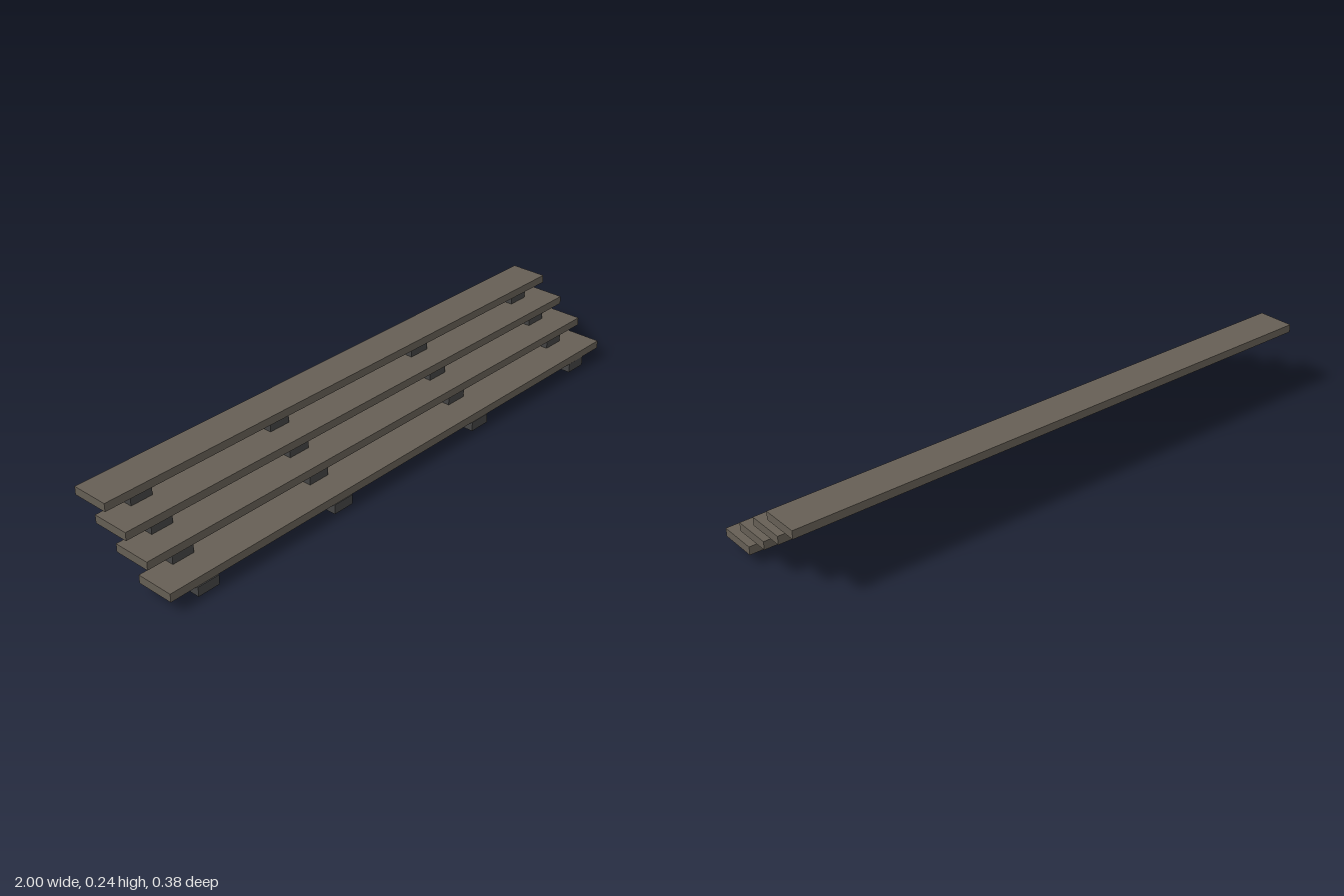
import * as THREE from 'three';

export function createModel() {
  const model = new THREE.Group();
  model.name = 'openStairs';
  const wood = new THREE.MeshStandardMaterial({ color: 0x665f55 });
  wood.name = 'weatheredWood';
  const dark = new THREE.MeshStandardMaterial({ color: 0x444444 });
  dark.name = 'darkSupport';

  // each step: plank bottom and centre z, support bottom, height and centre z
  const steps = [
    { y: 0.032, z: 0.1265, by: 0, bh: 0.032, bz: 0.1768 },
    { y: 0.094, z: 0.0385, by: 0.059, bh: 0.034, bz: 0.0765 },
    { y: 0.152, z: -0.0435, by: 0.1215, bh: 0.03, bz: -0.005 },
    { y: 0.21, z: -0.1245, by: 0.1795, bh: 0.029, bz: -0.086 },
  ];
  const plankGeo = new THREE.BoxGeometry(2, 0.0275, 0.129);
  const supportXs = [-0.867, -0.325, 0.327, 0.87];

  steps.forEach((s, i) => {
    const step = new THREE.Group();
    step.name = `step${i + 1}`;

    // plank, laid very slightly askew
    const plank = new THREE.Mesh(plankGeo, wood);
    plank.name = 'plank';
    plank.position.set(0, s.y + 0.01375, s.z);
    plank.rotation.y = -0.002;
    step.add(plank);

    // four support blocks under the plank
    const blockGeo = new THREE.BoxGeometry(0.078, s.bh, 0.0325);
    for (const x of supportXs) {
      const block = new THREE.Mesh(blockGeo, dark);
      block.name = 'supportBlock';
      block.position.set(x, s.by + s.bh / 2, s.bz);
      step.add(block);
    }
    model.add(step);
  });
  return model;
}
